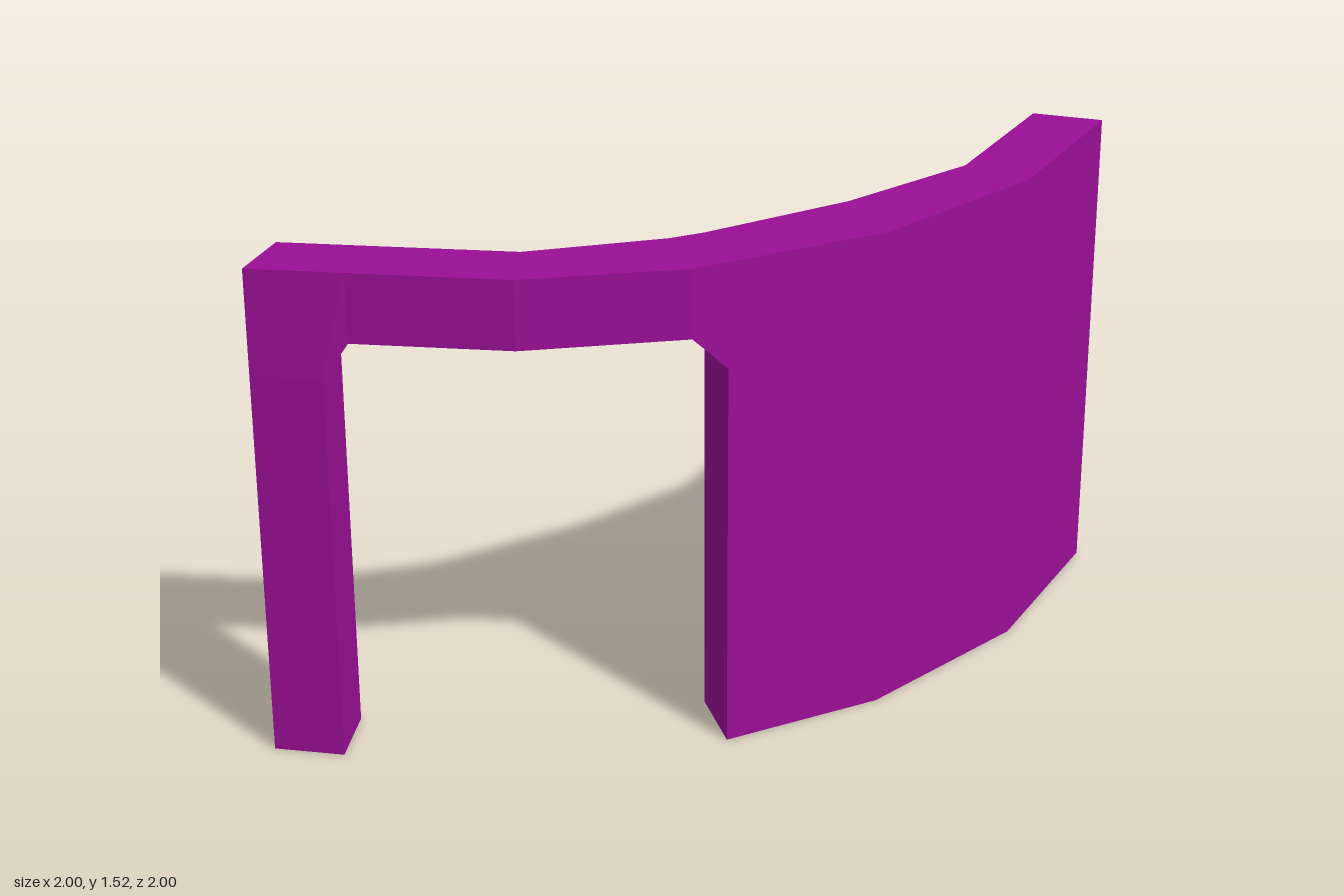
import * as THREE from 'three';

const HEIGHT = 1.52, SPRING = 1.2, HEAD = 1.31; // wall top, start of chamfer, opening head

// Plan stations along the wall: outer x,z, inner x,z, underside height
const leftJamb = { o: [-0.79, 0.965], i: [-0.83, 0.755], topO: [-0.79, 0.952], topI: [-0.83, 0.745] };
const rightJamb = { o: [0.255, 0.535], i: [0.12, 0.336] };
const stations = [
  { o: [-1, 0.995], i: [-1, 0.78], y: 0 },
  { ...leftJamb, y: 0 },
  { ...leftJamb, y: SPRING },
  { o: [-0.72, 0.938], i: [-0.76, 0.731], y: HEAD },
  { o: [-0.26, 0.845], i: [-0.32, 0.64], y: HEAD },
  { o: [0.175, 0.615], i: [0.04, 0.41], y: HEAD },
  { ...rightJamb, y: SPRING },
  { ...rightJamb, y: 0 },
  { o: [0.615, 0.17], i: [0.44, -0.04], y: 0 },
  { o: [0.9, -0.385], i: [0.69, -0.45], y: 0 },
  { o: [1, -1], i: [0.78, -1], y: 0 },
];

// Cross-section ring: up the outer face, over the top, down the inner face
function ring({ o, i, y, topO = o, topI = i }) {
  const mid = Math.max(y, SPRING);
  const p = (c, h) => new THREE.Vector3(c[0], h, c[1]);
  return [p(o, y), p(o, mid), p(topO, HEIGHT), p(topI, HEIGHT), p(i, mid), p(i, y)];
}

function loft(rings) {
  const pos = [];
  const tri = (a, b, c) => {
    if (new THREE.Triangle(a, b, c).getArea() < 1e-6) return; // skip collapsed faces
    for (const v of [a, b, c]) pos.push(v.x, v.y, v.z);
  };
  const n = rings[0].length;
  for (let k = 0; k < rings.length - 1; k++) {
    const a = rings[k], b = rings[k + 1];
    for (let j = 0; j < n; j++) {
      const m = (j + 1) % n;
      tri(a[j], b[j], b[m]);
      tri(a[j], b[m], a[m]);
    }
  }
  // end caps
  const first = rings[0], last = rings[rings.length - 1];
  for (let j = 1; j < n - 1; j++) {
    tri(first[0], first[j], first[j + 1]);
    tri(last[0], last[j + 1], last[j]);
  }
  const geo = new THREE.BufferGeometry();
  geo.setAttribute('position', new THREE.Float32BufferAttribute(pos, 3));
  geo.computeVertexNormals();
  return geo;
}

export function createModel() {
  const group = new THREE.Group();
  group.name = 'curvedWall';
  const material = new THREE.MeshStandardMaterial({ color: 0x9a0f96, flatShading: true });
  // curved wall with a chamfered doorway
  const wall = new THREE.Mesh(loft(stations.map(ring)), material);
  wall.name = 'wallWithDoorway';
  group.add(wall);
  return group;
}
